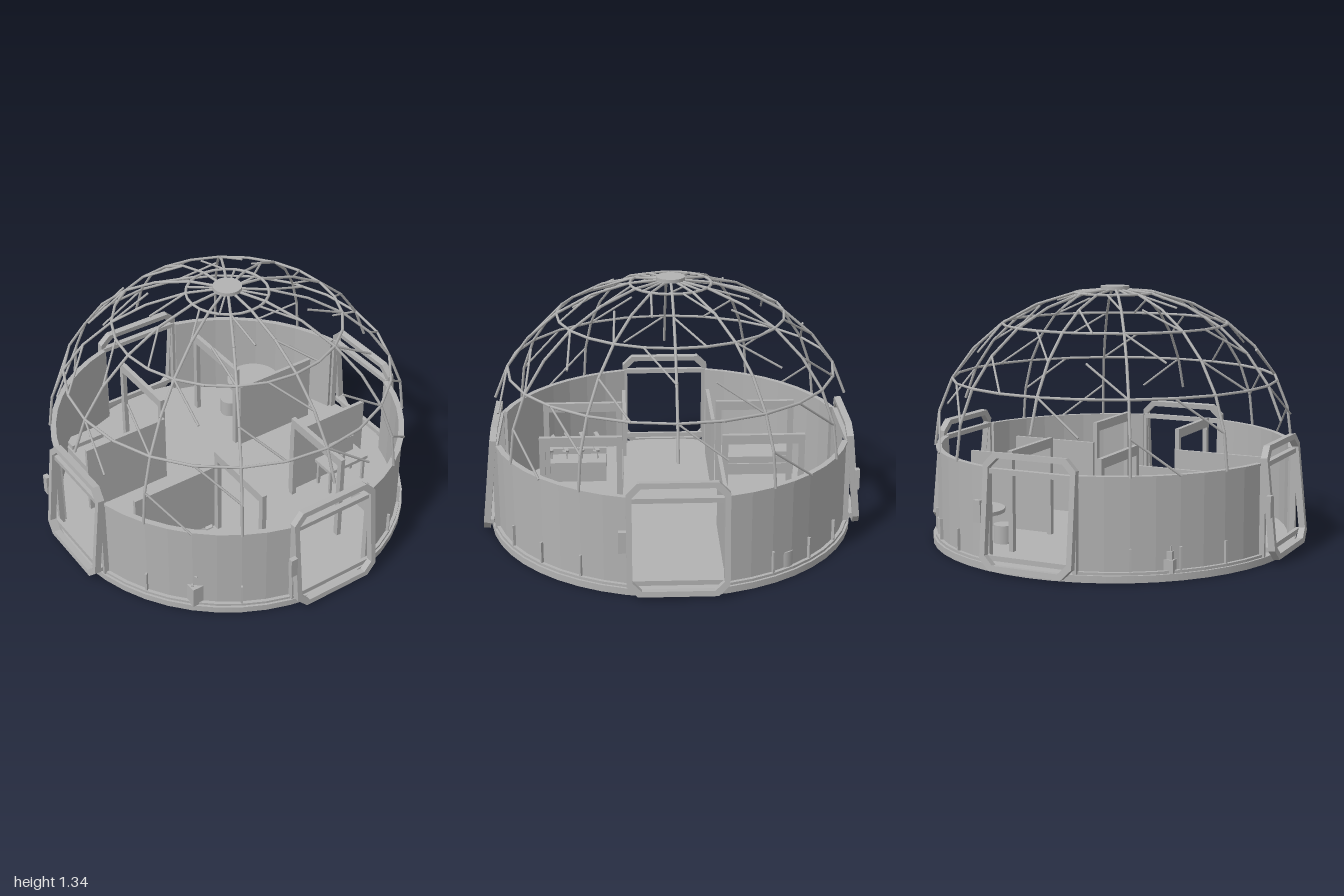
import * as THREE from 'three';

export function createModel() {
  const model = new THREE.Group();
  const grey = new THREE.MeshStandardMaterial({ color: 0xb2b2b2 });
  grey.name = 'plain grey';
  const rad = THREE.MathUtils.degToRad;
  const V = (x, y, z) => new THREE.Vector3(x, y, z);

  function add(parent, name, geo, x = 0, y = 0, z = 0) {
    const m = new THREE.Mesh(geo, grey);
    m.name = name;
    m.position.set(x, y, z);
    parent.add(m);
    return m;
  }
  function group(parent, name) {
    const g = new THREE.Group();
    g.name = name;
    parent.add(g);
    return g;
  }
  // box given by its lower and upper limits
  const box = (p, name, x0, x1, y0, y1, z0, z1) => add(p, name,
    new THREE.BoxGeometry(x1 - x0, y1 - y0, z1 - z0), (x0 + x1) / 2, (y0 + y1) / 2, (z0 + z1) / 2);
  const cyl = (p, name, r, y0, y1, x, z, n = 24) =>
    add(p, name, new THREE.CylinderGeometry(r, r, y1 - y0, n), x, (y0 + y1) / 2, z);
  function strut(p, name, a, b, r = 0.0075) {
    const d = b.clone().sub(a);
    const m = add(p, name, new THREE.CylinderGeometry(r, r, d.length(), 6));
    m.position.copy(a).addScaledVector(d, 0.5);
    m.quaternion.setFromUnitVectors(V(0, 1, 0), d.normalize());
    return m;
  }

  // floor plate
  cyl(model, 'floor', 0.97, 0, 0.035, 0, 0, 48);

  // faceted arc slab between two angles, measured from the front
  function arc(a0, a1, n, rIn, rOut, height) {
    const pts = [];
    for (let i = 0; i <= n; i++) {
      const t = rad(a0 + (a1 - a0) * i / n);
      pts.push(new THREE.Vector2(rOut * Math.sin(t), -rOut * Math.cos(t)));
    }
    for (let i = n; i >= 0; i--) {
      const t = rad(a0 + (a1 - a0) * i / n);
      pts.push(new THREE.Vector2(rIn * Math.sin(t), -rIn * Math.cos(t)));
    }
    return new THREE.ExtrudeGeometry(new THREE.Shape(pts), { depth: height, bevelEnabled: false })
      .rotateX(-Math.PI / 2);
  }

  // octagonal door frame outline
  const octagon = (C, w, y0, y1, c) => new C([
    [-w + c, y0], [w - c, y0], [w, y0 + c], [w, y1 - c],
    [w - c, y1], [-w + c, y1], [-w, y1 - c], [-w, y0 + c],
  ].map(([x, y]) => new THREE.Vector2(x, y)));

  // four identical sides: wall, anchor pegs and leaning door frame
  for (let q = 0; q < 4; q++) {
    const side = group(model, 'side' + (q + 1));
    side.rotation.y = q * Math.PI / 2;
    add(side, 'wall', arc(15, 75, 8, 0.92, 0.94, 0.47), 0, 0.035, 0);
    add(side, 'wallCap', arc(15, 75, 8, 0.918, 0.948, 0.012), 0, 0.495, 0);
    add(side, 'wallFoot', arc(15, 75, 8, 0.92, 0.958, 0.014), 0, 0.034, 0);
    for (const a of [30, 45, 60]) {
      const t = rad(a);
      const peg = box(side, 'anchorPeg', -0.005, 0.005, 0.03, 0.16, -0.008, 0.008);
      peg.position.set(0.947 * Math.sin(t), 0.095, 0.947 * Math.cos(t));
      peg.rotation.y = t;
    }
    const shape = octagon(THREE.Shape, 0.25, 0, 0.575, 0.055);
    shape.holes.push(octagon(THREE.Path, 0.222, 0.028, 0.547, 0.045));
    const frame = add(side, 'doorFrame', new THREE.ExtrudeGeometry(shape, { depth: 0.035, bevelEnabled: false })
      .translate(0, 0, -0.035).rotateX(-0.105), 0, 0.018, 1);
    frame.geometry.computeVertexNormals();
    box(side, 'doorLintel', -0.24, 0.24, 0.483, 0.508, 0.905, 0.935);
    box(side, 'doorSill', -0.24, 0.24, 0.06, 0.085, 0.94, 0.96);
    for (const s of [-1, 1]) box(side, 'doorJamb', s * 0.235 - 0.01, s * 0.235 + 0.01, 0.035, 0.5, 0.905, 0.935);
    box(side, 'doorPanel', -0.288, -0.25, 0.245, 0.355, 0.955, 0.98);
  }

  // dome lattice: nodes on a flattened hemisphere, seven levels by 24 columns
  const dome = group(model, 'domeLattice');
  function node(i, j) {
    const t = rad(i * 15), e = rad(j * 90 / 7), r = 0.95 * Math.cos(e);
    return V(r * Math.sin(t), 0.5 + 0.82 * Math.sin(e), r * Math.cos(t));
  }
  for (let i = 0; i < 24; i++) {
    const overDoor = i % 6 === 0;
    for (let j = 0; j < 7; j++) {
      if (i % 2 === 0 && !(overDoor && j === 0)) strut(dome, 'rib', node(i, j), node(i, j + 1));
      const doorCell = j === 0 && i % 6 === 5;
      if (i % 3 === (j + 2) % 3 && !doorCell) strut(dome, 'brace', node(i, j + 1), node(i + 1, j), 0.006);
    }
    for (const j of [2, 4, 6]) strut(dome, 'ring', node(i, j), node(i + 1, j));
  }
  cyl(dome, 'hub', 0.075, 1.315, 1.335, 0, 0);

  // partitions: a panel and a framed opening in each quarter
  for (const sx of [-1, 1]) for (const sz of [-1, 1]) {
    const p = group(model, 'partition');
    const w = (name, xa, xb, y0, y1, za, zb) => box(p, name,
      Math.min(sx * xa, sx * xb), Math.max(sx * xa, sx * xb), y0, y1,
      Math.min(sz * za, sz * zb), Math.max(sz * za, sz * zb));
    w('panel', 0.25, 0.74, 0.035, 0.44, 0.235, 0.255);
    w('lintel', 0.235, 0.26, 0.5, 0.55, 0.26, 0.69);
    w('post', 0.235, 0.26, 0.035, 0.5, 0.26, 0.29);
    w('post', 0.235, 0.26, 0.035, 0.5, 0.66, 0.69);
  }

  // bed
  const bed = group(model, 'bed');
  box(bed, 'bedBase', -0.65, -0.41, 0.035, 0.1, -0.72, -0.32);
  box(bed, 'mattress', -0.64, -0.42, 0.1, 0.14, -0.71, -0.33);
  box(bed, 'pillow', -0.63, -0.43, 0.14, 0.165, -0.7, -0.62);

  // round table with two stools
  const dining = group(model, 'diningSet');
  cyl(dining, 'tableTop', 0.155, 0.18, 0.2, 0.55, -0.53, 32);
  cyl(dining, 'tableLeg', 0.025, 0.035, 0.18, 0.55, -0.53, 12);
  for (const x of [0.38, 0.72]) cyl(dining, 'stool', 0.054, 0.035, 0.13, x, -0.53, 20);

  // desk with a screen, and an easy chair
  const study = group(model, 'study');
  box(study, 'deskTop', 0.4, 0.66, 0.18, 0.2, 0.27, 0.41);
  for (const x of [0.41, 0.635]) for (const z of [0.28, 0.385])
    box(study, 'deskLeg', x, x + 0.015, 0.035, 0.18, z, z + 0.015);
  box(study, 'screen', 0.45, 0.61, 0.22, 0.32, 0.325, 0.34);
  box(study, 'screenFoot', 0.52, 0.54, 0.2, 0.23, 0.31, 0.36);
  box(study, 'chairSeat', 0.48, 0.67, 0.035, 0.13, 0.5, 0.63);
  box(study, 'chairBack', 0.5, 0.65, 0.13, 0.22, 0.6, 0.63);

  // planting benches with two rows of seedlings
  const garden = group(model, 'garden');
  for (const x of [-0.62, -0.41]) {
    box(garden, 'planter', x - 0.065, x + 0.065, 0.035, 0.15, 0.35, 0.7);
    for (let k = 0; k < 4; k++) {
      const z = 0.4 + k * 0.087;
      cyl(garden, 'stem', 0.004, 0.15, 0.2, x, z, 6);
      for (const s of [-1, 1]) {
        const leaf = add(garden, 'leaf', new THREE.BoxGeometry(0.04, 0.008, 0.022), x + s * 0.018, 0.203, z + 0.006);
        leaf.rotation.set(0, -s * 0.45, s * 0.4);
      }
    }
  }
  return model;
}
